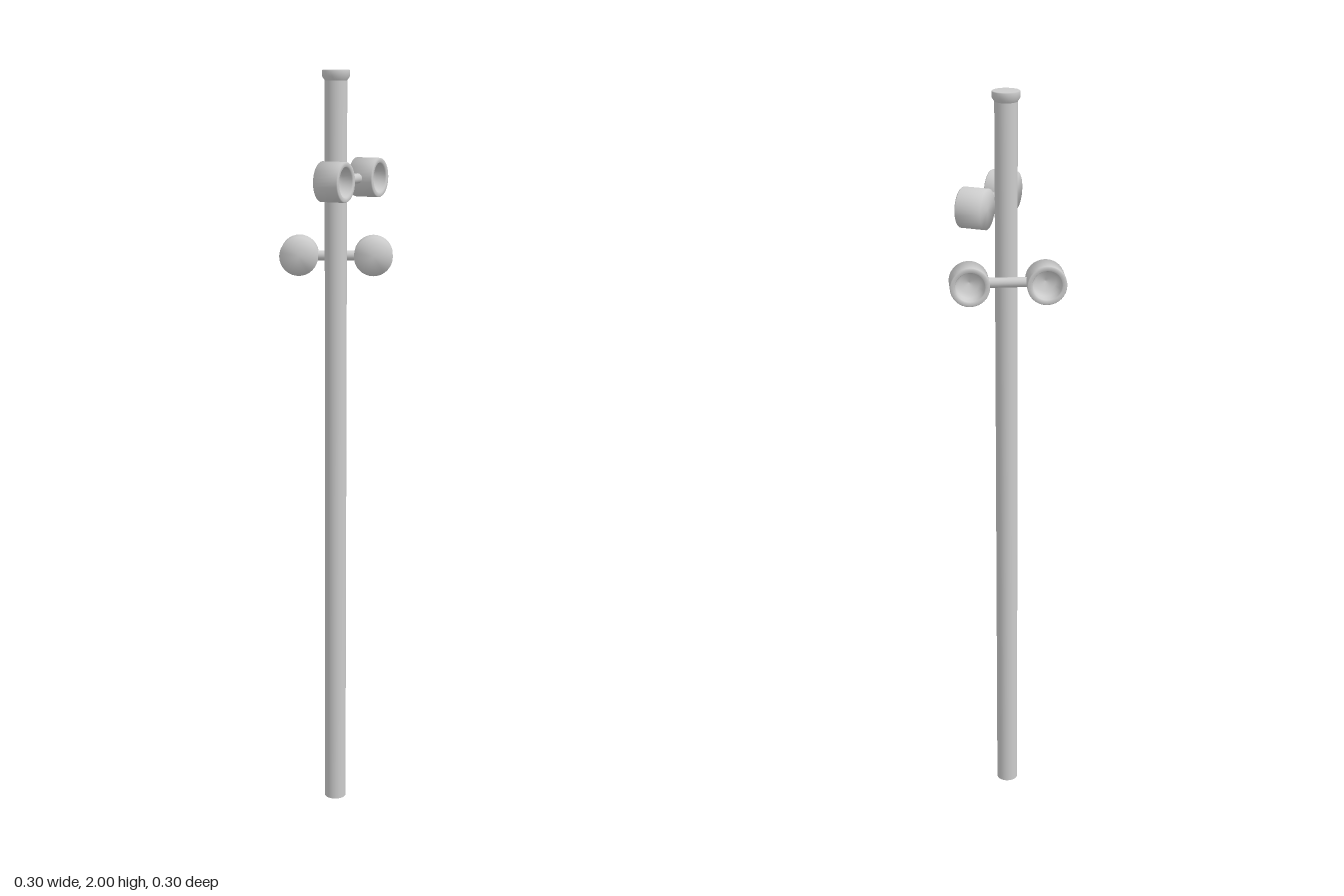
import * as THREE from 'three';

const grey = new THREE.MeshStandardMaterial({ color: 0xcccccc });

function addMesh(parent, geometry, name) {
  const mesh = new THREE.Mesh(geometry, grey);
  mesh.name = name;
  parent.add(mesh);
  return mesh;
}

const lathe = (profile, sides) =>
  new THREE.LatheGeometry(profile.map(([r, y]) => new THREE.Vector2(r, y)), sides);

// Drum-shaped lamp, closed at the back, with a dished opening at the front
const lampGeometry = lathe([
  [0, -0.034], [0.051, -0.034], [0.051, 0.031], [0.049, 0.034], [0.04, 0.034],
  [0.038, 0.03], [0.036, 0.005], [0.026, -0.008], [0, -0.014],
], 32);

// Two lamps on a crossbar, facing +x before turning
function lampPair(name, y, angle) {
  const pair = new THREE.Group();
  pair.name = name;
  pair.position.y = y;
  pair.rotation.y = angle;
  for (const side of [-1, 1]) {
    const lamp = addMesh(pair, lampGeometry, side > 0 ? 'lampA' : 'lampB');
    lamp.rotation.z = -Math.PI / 2;
    lamp.position.set(0.046, 0, side * 0.098);
  }
  const bar = addMesh(pair, new THREE.CylinderGeometry(0.013, 0.013, 0.104, 16), 'crossbar');
  bar.rotation.x = Math.PI / 2;
  bar.position.x = 0.039;
  return pair;
}

export function createModel() {
  const model = new THREE.Group();
  model.name = 'lampPost';
  const post = new THREE.Group();
  post.name = 'post';
  post.position.x = 0.024;
  model.add(post);

  // Pole and its flared cap
  const pole = addMesh(post, new THREE.CylinderGeometry(0.029, 0.029, 1.98, 32), 'pole');
  pole.position.y = 0.99;
  addMesh(post, lathe([[0.028, 1.972], [0.036, 1.984], [0.036, 1.998], [0.034, 2], [0, 2]], 32), 'poleCap');

  // Lamp pairs, the lower one turned towards the back
  post.add(lampPair('upperLamps', 1.725, 0));
  post.add(lampPair('lowerLamps', 1.523, THREE.MathUtils.degToRad(115.5)));
  return model;
}
